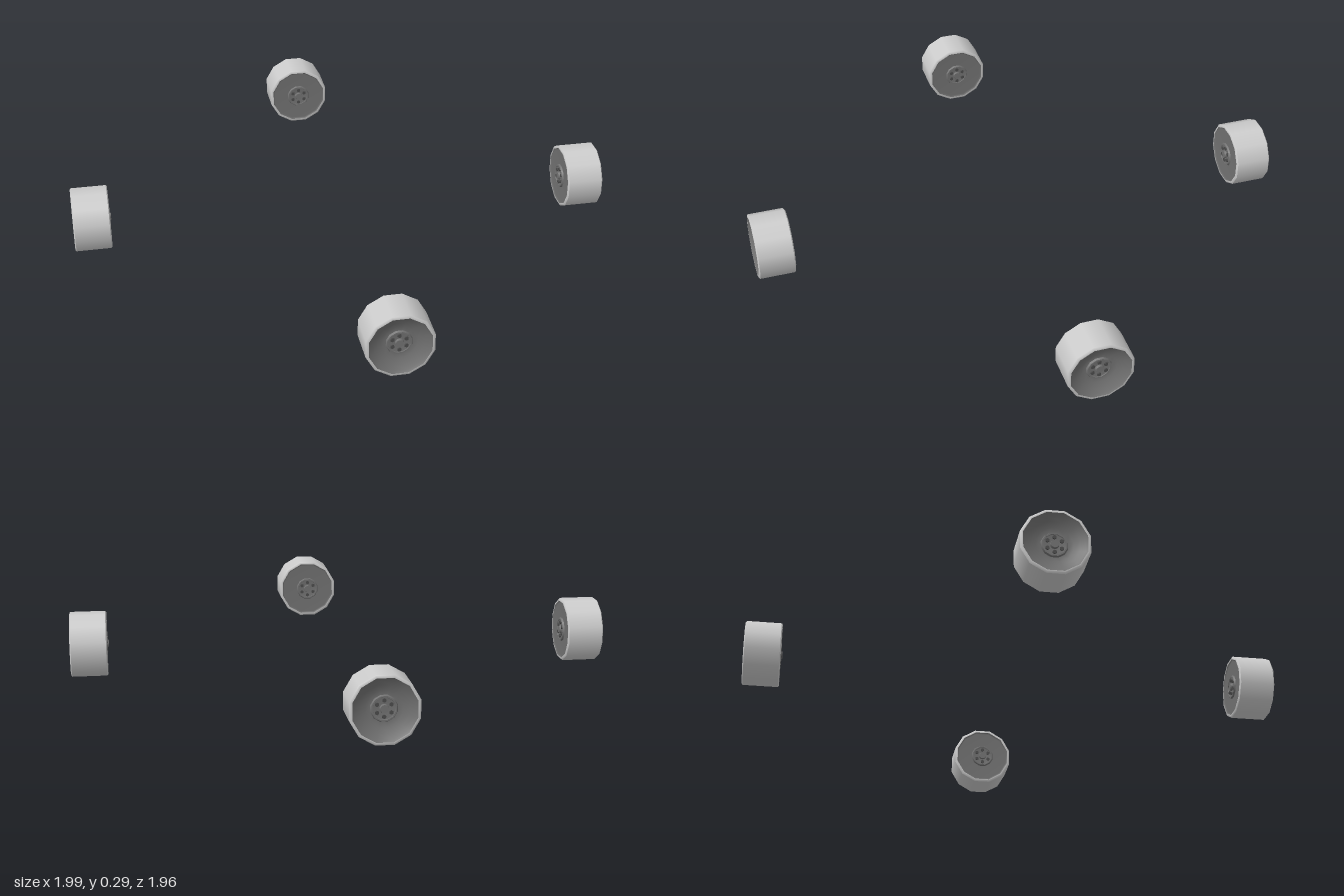
import * as THREE from 'three';

const tyreMat = new THREE.MeshStandardMaterial({ color: 0xcccccc });
tyreMat.name = 'tyre light grey';
const rimMat = new THREE.MeshStandardMaterial({ color: 0x727272 });
rimMat.name = 'rim grey';
const boltMat = new THREE.MeshStandardMaterial({ color: 0x4c4c4c });
boltMat.name = 'bolt dark grey';

const SIDES = 12, R = 0.151, HALF = 0.085;

// Twelve-sided ring or disc around the axle (y), with a flat at the top
function turned(name, points, material, sides = SIDES) {
  const profile = points.map(([r, y]) => new THREE.Vector2(r, y));
  const mesh = new THREE.Mesh(new THREE.LatheGeometry(profile, sides, Math.PI / sides), material);
  mesh.name = name;
  return mesh;
}

// Raised hub with centre cap and a circle of bolts, facing +y
function createHub(name) {
  const hub = new THREE.Group();
  hub.name = name;
  hub.add(turned('hubWall', [[0.058, 0], [0.054, 0.008]], rimMat));
  hub.add(turned('hubLip', [[0.054, 0.008], [0.048, 0.008]], rimMat));
  hub.add(turned('hubInset', [[0.048, 0.008], [0.046, 0.003], [0, 0.003]], rimMat));
  const cap = new THREE.Mesh(new THREE.CylinderGeometry(0.017, 0.02, 0.012, 10), rimMat);
  cap.name = 'centreCap';
  cap.position.y = 0.007;
  hub.add(cap);
  const boltGeo = new THREE.CylinderGeometry(0.009, 0.009, 0.006, 6);
  for (let i = 0; i < 6; i++) {
    const a = (i / 6) * Math.PI * 2;
    const bolt = new THREE.Mesh(boltGeo, boltMat);
    bolt.name = 'bolt';
    bolt.position.set(Math.sin(a) * 0.034, 0.006, Math.cos(a) * 0.034);
    hub.add(bolt);
  }
  return hub;
}

function createWheel(name) {
  const axle = new THREE.Group();
  axle.rotation.x = Math.PI / 2; // outer face towards +z
  // Tyre: tread with a thin lip on both sides
  axle.add(turned('tread', [[R, -HALF + 0.005], [R, HALF - 0.005]], tyreMat));
  axle.add(turned('outerLip', [[R, HALF - 0.005], [R - 0.006, HALF], [R - 0.013, HALF]], tyreMat));
  axle.add(turned('innerLip', [[R - 0.013, -HALF], [R - 0.006, -HALF], [R, -HALF + 0.005]], tyreMat));
  // Dished outer face
  axle.add(turned('outerDish', [
    [R - 0.013, HALF], [0.128, HALF - 0.008], [0.105, HALF - 0.02],
    [0.08, HALF - 0.03], [0.058, HALF - 0.034], [0, HALF - 0.034],
  ], rimMat));
  // Almost flat inner face
  axle.add(turned('innerFace', [[0, -HALF + 0.006], [0.13, -HALF + 0.006], [R - 0.013, -HALF]], rimMat));

  const outerHub = createHub('outerHub');
  outerHub.position.y = HALF - 0.034;
  const innerHub = createHub('innerHub');
  innerHub.rotation.x = Math.PI;
  innerHub.position.y = -HALF + 0.006;
  axle.add(outerHub, innerHub);

  const wheel = new THREE.Group();
  wheel.name = name;
  wheel.add(axle);
  return wheel;
}

export function createModel() {
  const model = new THREE.Group();
  model.name = 'fourWheels';
  // One wheel in each corner, its axle pointing diagonally outwards
  for (const [sx, side] of [[1, 'Left'], [-1, 'Right']]) {
    for (const [sz, end] of [[1, 'front'], [-1, 'back']]) {
      const wheel = createWheel(`${end}${side}Wheel`);
      wheel.position.set(sx * 0.836, 0.146, sz * 0.818);
      wheel.rotation.y = Math.atan2(sx, sz);
      model.add(wheel);
    }
  }
  return model;
}
